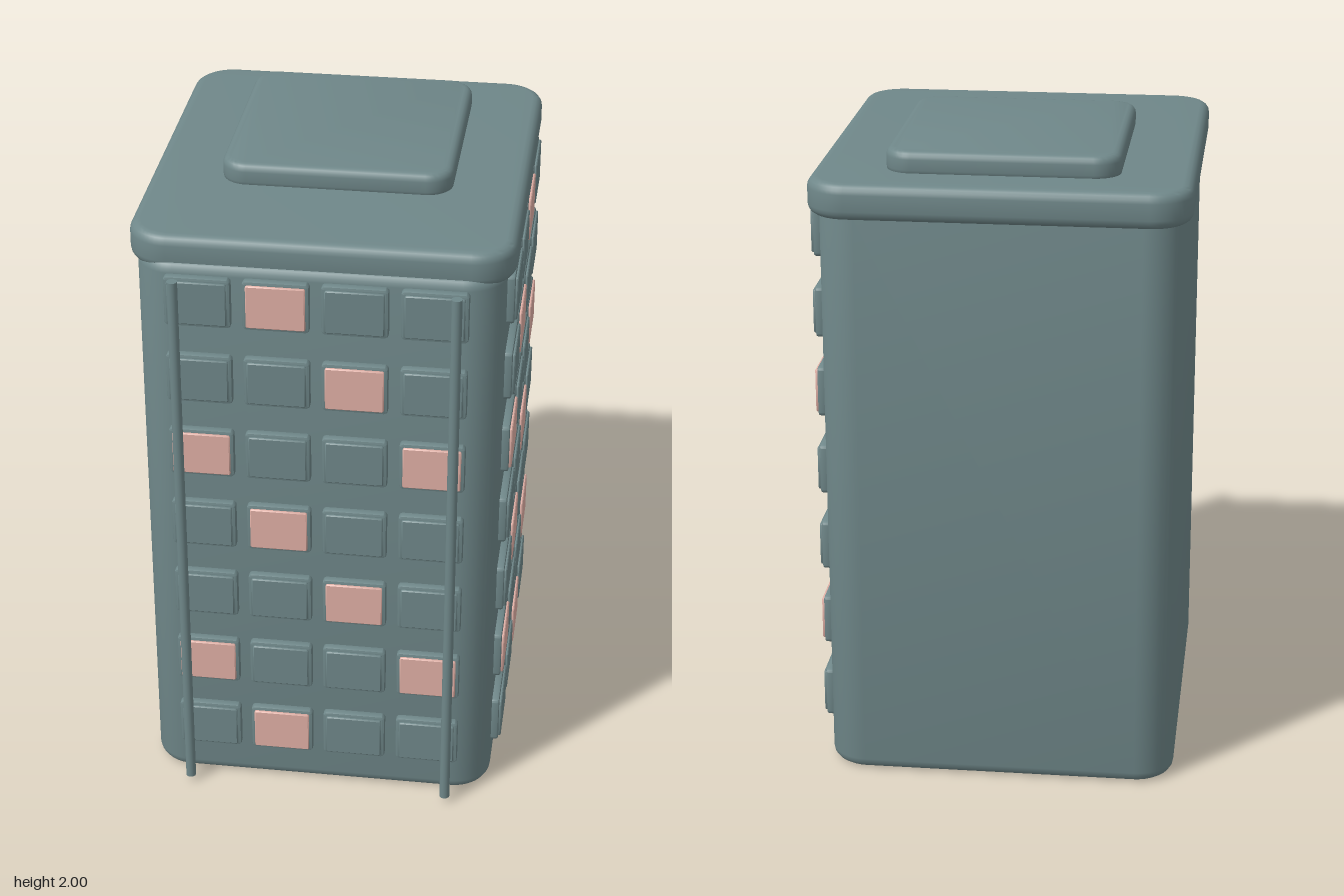
import * as THREE from 'three';
import { toCreasedNormals } from 'three/addons/utils/BufferGeometryUtils.js';

const wall = new THREE.MeshStandardMaterial({ color: 0x6f8789 });
wall.name = 'slateGreen';
const lit = new THREE.MeshStandardMaterial({ color: 0xdfafa5 });
lit.name = 'warmPink';

// Block with rounded outline corners and bevelled rims, standing on y = 0
function roundedBlock(w, d, h, r, bevel, steps = 4) {
  const x = w / 2 - bevel, y = d / 2 - bevel, c = Math.max(r - bevel, 0.002);
  const s = new THREE.Shape();
  s.absarc(x - c, y - c, c, 0, Math.PI / 2);
  s.absarc(-x + c, y - c, c, Math.PI / 2, Math.PI);
  s.absarc(-x + c, -y + c, c, Math.PI, Math.PI * 1.5);
  s.absarc(x - c, -y + c, c, Math.PI * 1.5, Math.PI * 2);
  s.closePath();
  const geo = new THREE.ExtrudeGeometry(s, {
    depth: h - 2 * bevel, bevelThickness: bevel, bevelSize: bevel,
    bevelSegments: steps, curveSegments: 6,
  });
  geo.translate(0, 0, bevel).rotateX(-Math.PI / 2);
  return toCreasedNormals(geo, 0.6);
}

function add(parent, name, geo, material, x, y, z) {
  const mesh = new THREE.Mesh(geo, material);
  mesh.name = name;
  mesh.position.set(x, y, z);
  parent.add(mesh);
  return mesh;
}

// Grid of windows facing +z: frames with slightly raised panes
function windowWall(name, width, centers) {
  const group = new THREE.Group();
  group.name = name;
  const frame = roundedBlock(width, 0.16, 0.035, 0.013, 0.007, 2).rotateX(Math.PI / 2);
  const pane = roundedBlock(width - 0.022, 0.138, 0.014, 0.006, 0.003, 1).rotateX(Math.PI / 2);
  for (let row = 0; row < 7; row++) {
    centers.forEach((x, col) => {
      const y = 0.206 + row * 0.2565;
      const isLit = (row + col) % 3 === 1;
      add(group, 'windowFrame', frame, wall, x, y, -0.012);
      add(group, isLit ? 'litPane' : 'darkPane', pane, isLit ? lit : wall, x, y, 0.017);
    });
  }
  return group;
}

export function createModel() {
  const model = new THREE.Group();
  model.name = 'apartmentTower';

  // Tower body, roof slab and raised roof cap
  add(model, 'body', roundedBlock(1.095, 1.245, 1.86, 0.12, 0.035), wall, -0.0075, 0, -0.0125);
  add(model, 'roofSlab', roundedBlock(1.145, 1.28, 0.11, 0.125, 0.03), wall, -0.0075, 1.825, -0.045);
  add(model, 'roofCap', roundedBlock(0.705, 0.745, 0.08, 0.08, 0.024), wall, -0.0075, 1.92, -0.157);

  // Windows on the front and on the +x side
  const front = windowWall('frontWindows', 0.198, [-0.358, -0.125, 0.108, 0.342]);
  front.position.z = 0.61;
  const side = windowWall('sideWindows', 0.226, [-0.382, -0.121, 0.143, 0.405].map((z) => z));
  side.rotation.y = Math.PI / 2;
  side.position.x = 0.54;
  // Mirror the lit pattern so it runs the same way along z as along x
  side.children.forEach((m, i) => {
    if (i % 2 === 0) return;
    const index = (i - 1) / 2;
    const isLit = (Math.floor(index / 4) + 3 - (index % 4)) % 3 === 1;
    m.material = isLit ? lit : wall;
    m.name = isLit ? 'litPane' : 'darkPane';
  });
  model.add(side, front);

  // Downpipes standing clear of the front wall
  const pipe = new THREE.CylinderGeometry(0.016, 0.016, 1.81, 16);
  for (const x of [-0.422, 0.408]) add(model, 'downpipe', pipe, wall, x, 0.925, 0.668);

  return model;
}
